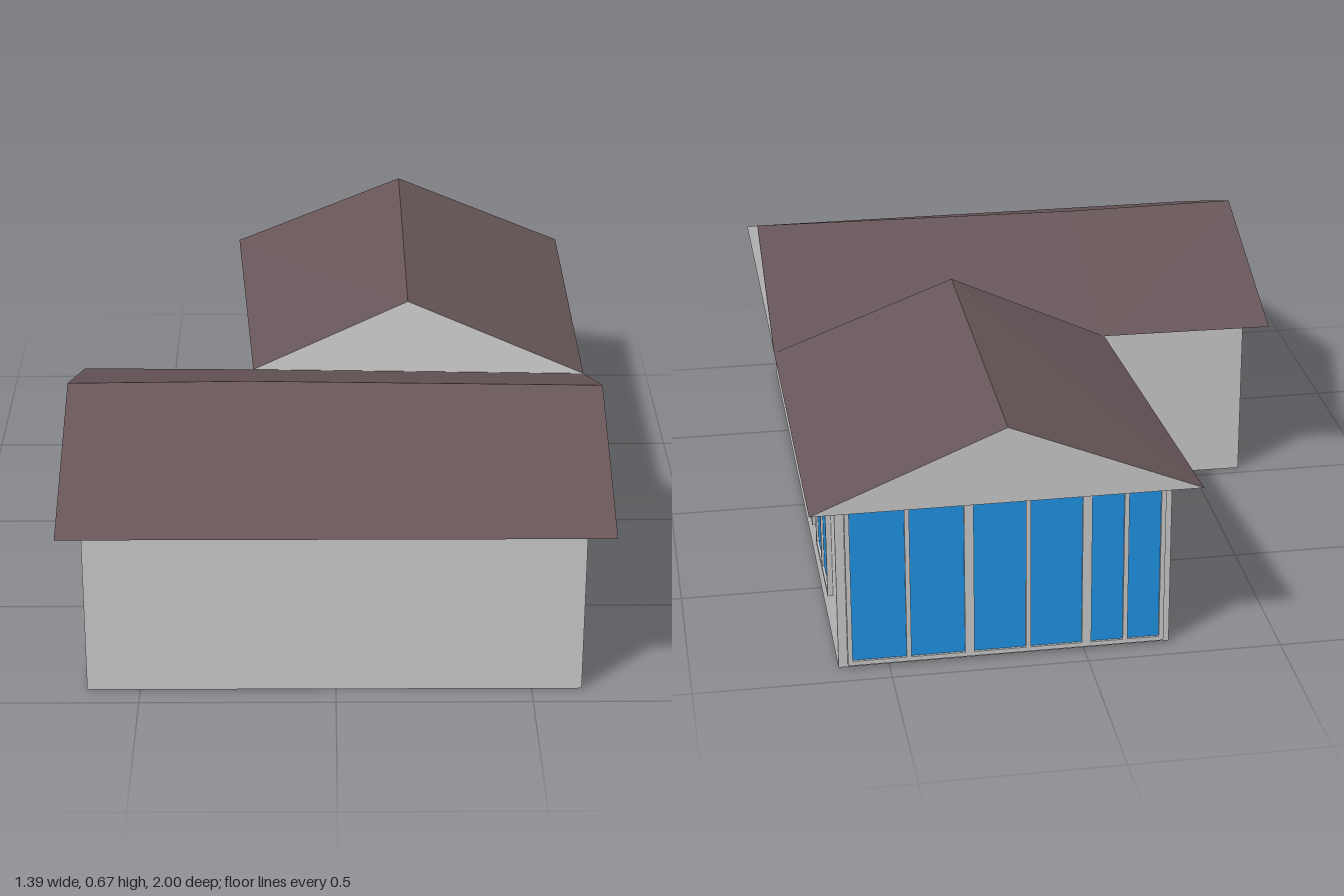
import * as THREE from 'three';

const grey = new THREE.MeshStandardMaterial({ color: 0xcccccc });
const roofBrown = new THREE.MeshStandardMaterial({ color: 0x685659 });
const glassBlue = new THREE.MeshStandardMaterial({ color: 0x1f94e8 });
const WALL_TOP = 0.465;

function addMesh(parent, name, geometry, material) {
  const mesh = new THREE.Mesh(geometry, material);
  mesh.name = name;
  parent.add(mesh);
  return mesh;
}

// Flat-shaded geometry from counter-clockwise polygons
function polygons(faces) {
  const points = [];
  for (const face of faces) {
    for (let i = 1; i < face.length - 1; i++) points.push(...face[0], ...face[i], ...face[i + 1]);
  }
  const geometry = new THREE.BufferGeometry();
  geometry.setAttribute('position', new THREE.Float32BufferAttribute(points, 3));
  geometry.computeVertexNormals();
  return geometry;
}

// Gable roof lofted through triangular sections [eaveA, ridge, eaveB]:
// sloping sides are coloured, gable ends and soffit are grey
function gableRoof(name, sections) {
  const roof = new THREE.Group();
  roof.name = name;
  const slopes = [];
  const underside = [];
  for (let i = 0; i < sections.length - 1; i++) {
    const [a, r, b] = sections[i];
    const [a2, r2, b2] = sections[i + 1];
    slopes.push([a, a2, r2, r], [r, r2, b2, b]);
    underside.push([b, b2, a2, a]);
  }
  const [a, r, b] = sections[0];
  const [a2, r2, b2] = sections[sections.length - 1];
  addMesh(roof, 'roofSlopes', polygons(slopes), roofBrown);
  addMesh(roof, 'gableEnds', polygons([[a, r, b], [a2, b2, r2]]), grey);
  addMesh(roof, 'soffit', polygons(underside), grey);
  return roof;
}

// Framed window facing +z, with equal panes, centred on its own origin
function makeWindow(name, width, height, panes) {
  const group = new THREE.Group();
  group.name = name;
  const border = 0.012;
  const depth = 0.014;
  const shape = new THREE.Shape();
  shape.moveTo(-width / 2, -height / 2);
  shape.lineTo(width / 2, -height / 2);
  shape.lineTo(width / 2, height / 2);
  shape.lineTo(-width / 2, height / 2);
  shape.closePath();
  const paneWidth = (width - border * (panes + 1)) / panes;
  const paneHeight = height - border * 2;
  for (let i = 0; i < panes; i++) {
    const x = -width / 2 + border + i * (paneWidth + border);
    const hole = new THREE.Path();
    hole.moveTo(x, -paneHeight / 2);
    hole.lineTo(x, paneHeight / 2);
    hole.lineTo(x + paneWidth, paneHeight / 2);
    hole.lineTo(x + paneWidth, -paneHeight / 2);
    hole.closePath();
    shape.holes.push(hole);
    const pane = addMesh(group, 'glassPane', new THREE.BoxGeometry(paneWidth, paneHeight, 0.008), glassBlue);
    pane.position.set(x + paneWidth / 2, 0, 0.004);
  }
  addMesh(group, 'windowFrame', new THREE.ExtrudeGeometry(shape, { depth, bevelEnabled: false }), grey);
  return group;
}

export function createModel() {
  const house = new THREE.Group();
  house.name = 'house';

  // L-shaped walls, extruded upward from a plan drawn as (x, -z)
  const plan = new THREE.Shape([
    [-0.635, -0.935], [0.628, -0.935], [0.628, 0.93], [-0.222, 0.93], [-0.162, -0.04], [-0.635, -0.03],
  ].map(([x, y]) => new THREE.Vector2(x, y)));
  const wallGeometry = new THREE.ExtrudeGeometry(plan, { depth: WALL_TOP, bevelEnabled: false });
  wallGeometry.rotateX(-Math.PI / 2);
  addMesh(house, 'walls', wallGeometry, grey);

  // Front roof, its ridge running along x with a slight bend
  house.add(gableRoof('frontRoof', [
    [-0.695, -0.03, 0.485], [-0.225, -0.02, 0.475], [0.695, 0.012, 0.505],
  ].map(([x, back, ridge]) => [[x, WALL_TOP, 1], [x, 0.655, ridge], [x, WALL_TOP, back]].map((p) => p))
    .map(([front, ridge, back]) => [front, ridge, back])));

  // Wing roof, its ridge running toward the back
  house.add(gableRoof('wingRoof', [
    [[0.695, WALL_TOP, 0.012], [0.205, 0.668, -0.025], [-0.225, WALL_TOP, -0.02]],
    [[0.695, WALL_TOP, -1], [0.205, 0.668, -1], [-0.288, WALL_TOP, -1]],
  ]));

  // Two windows on the side wall
  for (const z of [-0.29, -0.69]) {
    const sideWindow = makeWindow('sideWindow', 0.295, 0.285, 2);
    sideWindow.rotation.y = Math.PI / 2;
    sideWindow.position.set(0.628, 0.298, z);
    house.add(sideWindow);
  }

  // Three tall glazed units across the back of the wing
  for (const [from, to] of [[-0.205, -0.005], [-0.005, 0.295], [0.295, 0.605]]) {
    const backWindow = makeWindow('backWindow', to - from, 0.44, 2);
    backWindow.rotation.y = Math.PI;
    backWindow.position.set((from + to) / 2, 0.23, -0.93);
    house.add(backWindow);
  }

  return house;
}
